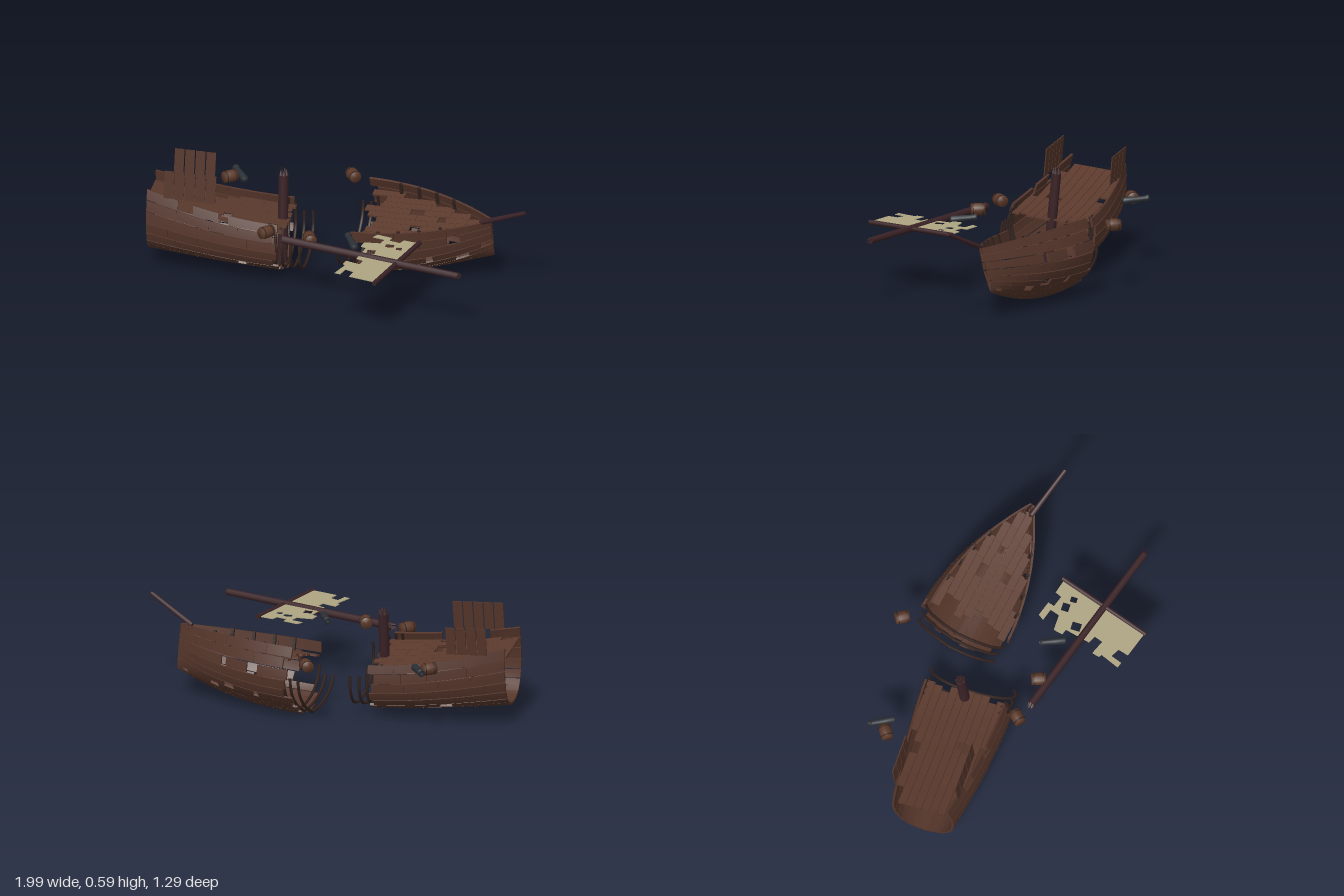
import * as THREE from 'three';
import { mergeGeometries } from 'three/addons/utils/BufferGeometryUtils.js';

const mat = (name, color, side = THREE.FrontSide) => {
  const m = new THREE.MeshStandardMaterial({ color, side });
  m.name = name;
  return m;
};
const M = {
  hull: mat('hull wood', 0x54352a, THREE.DoubleSide),
  deck: mat('deck wood', 0x5c3a2d, THREE.DoubleSide),
  rib: mat('dark frame wood', 0x33231f),
  spar: mat('spar wood', 0x3a2226),
  barrel: mat('barrel wood', 0x5a3828),
  iron: mat('iron', 0x2b3036),
  sail: mat('sailcloth', 0xaea482, THREE.DoubleSide),
};

let seed = 7;
const rnd = () => (seed = (seed * 16807) % 2147483647) / 2147483647;
const mix = (a, b, t) => a + (b - a) * t;
const clamp01 = (t) => Math.min(1, Math.max(0, t));
const V = (x, y, z) => new THREE.Vector3(x, y, z);
const spline = (pts) => new THREE.SplineCurve(pts.map((p) => new THREE.Vector2(...p)));

function mesh(name, geo, material, parent) {
  const m = new THREE.Mesh(geo, material);
  m.name = name;
  parent.add(m);
  return m;
}

// point of a hull: t along it from the break, a from keel (0) to rail (1), off = inward offset
function hullPoint(h, t, a, side, off) {
  const c = clamp01(t), w = h.width(c), k = h.keel(c), H = h.top(c) - k;
  const p = h.profile.getPointAt(clamp01(a)), g = h.profile.getTangentAt(clamp01(a));
  const n = new THREE.Vector2(-g.y * H, g.x * w).normalize();
  return V(h.x(t), k + p.y * H + n.y * off, side * Math.max(0, p.x * w + n.x * off));
}

// bend a box so that its x, y, z run over the given mapping
function bentBox(map, nx, ny) {
  const g = new THREE.BoxGeometry(1, 1, 1, nx, ny, 1);
  const p = g.attributes.position;
  for (let i = 0; i < p.count; i++) {
    const q = map(p.getX(i) + 0.5, p.getY(i) + 0.5, p.getZ(i) + 0.5);
    p.setXYZ(i, q.x, q.y, q.z);
  }
  g.computeVertexNormals();
  return g;
}

// one row of planks with ragged start and broken-out pieces
function plankRow(start, end, holeChance, add) {
  for (let t = start; t < end - 0.03;) {
    let t1 = t + 0.15 + 0.25 * rnd();
    if (t1 > end - 0.07) t1 = end;
    add(t, t1 - (t1 < end ? 0.0015 : 0));
    t = t1;
    if (rnd() < holeChance(t)) t += 0.04 + 0.07 * rnd();
  }
}

function buildHull(h, name, parent) {
  const planks = [], deck = [], N = 10;
  for (const side of [1, -1]) {
    for (let i = 0; i < N; i++) {
      const a0 = i / N, a1 = (i + (i < 4 ? 0.985 : 0.91)) / N;
      const rag = 0.05 * rnd() + (i > 4 ? h.ragged * rnd() * (side > 0 ? 1 : 0.4) : 0);
      plankRow(rag, 1, (t) => (i < 4 ? 0.06 : h.holes * (1.2 - 0.7 * t)), (t0, t1) => {
        planks.push(bentBox((u, v, w) =>
          hullPoint(h, mix(t0, t1, u), mix(a0, a1, v), side, mix(0.012, 0, w)), 6, 2));
      });
    }
  }
  mesh(name + 'Planks', mergeGeometries(planks), M.hull, parent);

  // deck boards
  const step = 0.043;
  for (let row = -4.5; row <= 4.5; row++) {
    const zc = row * step;
    let end = 1;
    while (end > 0.1 && h.width(end) * 0.93 < Math.abs(zc) + step / 2) end -= 0.01;
    plankRow(h.deckRagged * rnd(), end, () => h.deckHoles, (t0, t1) => {
      deck.push(bentBox((u, v, w) => {
        const t = mix(t0, t1, u);
        return V(h.x(t), mix(h.keel(t), h.top(t), h.deckHeight) + 0.01 * w, zc + (v - 0.5) * step * 0.95);
      }, 4, 1));
    });
  }
  mesh(name + 'Deck', mergeGeometries(deck), M.deck, parent);

  // curved frames near the break, some standing bare beyond it
  for (const [t, reach] of h.ribs) {
    const pts = [];
    for (let i = -10; i <= 10; i++)
      pts.push(hullPoint(h, t, Math.abs(i / 10) * reach, Math.sign(i), 0.018));
    mesh(name + 'Rib', new THREE.TubeGeometry(new THREE.CatmullRomCurve3(pts), 40, 0.008, 5), M.rib, parent);
  }
  // rail stanchions
  for (const t of h.posts) for (const side of [1, -1]) {
    const p = hullPoint(h, t, 0.94, side, 0.018);
    mesh('railPost', new THREE.BoxGeometry(0.016, 0.07, 0.014), M.rib, parent).position.copy(p);
  }
}

// round timber between two points, with splinters on the chosen ends
function spar(name, a, b, r0, r1, parent, splinterA, splinterB) {
  const g = new THREE.Group();
  g.name = name;
  const d = b.clone().sub(a), L = d.length();
  g.position.copy(a);
  g.quaternion.setFromUnitVectors(V(0, 1, 0), d.normalize());
  mesh(name + 'Timber', new THREE.CylinderGeometry(r1, r0, L, 10).translate(0, L / 2, 0), M.spar, g);
  const splinters = (y, r, dir) => {
    for (let i = 0; i < 5; i++) {
      const k = i * 1.257, len = r * (0.8 + 0.9 * rnd());
      const c = mesh('splinter', new THREE.ConeGeometry(r * 0.42, len, 4), M.spar, g);
      c.position.set(Math.cos(k) * r * 0.58, y + dir * len / 2, Math.sin(k) * r * 0.58);
      if (dir < 0) c.rotation.x = Math.PI;
    }
  };
  if (splinterA) splinters(0, r0, -1);
  if (splinterB) splinters(L, r1, 1);
  parent.add(g);
}

function barrel(x, z, yaw, parent) {
  const g = new THREE.Group();
  g.name = 'barrel';
  const prof = [[0, -0.038], [0.029, -0.038], [0.032, -0.018], [0.033, 0], [0.032, 0.018], [0.029, 0.038], [0, 0.038]];
  mesh('barrelBody', new THREE.LatheGeometry(prof.map((p) => new THREE.Vector2(...p)), 14), M.barrel, g);
  for (const y of [-0.024, 0.024])
    mesh('barrelHoop', new THREE.CylinderGeometry(0.0328, 0.0328, 0.005, 14), M.rib, g).position.y = y;
  g.rotation.set(0, yaw, Math.PI / 2);
  g.position.set(x, 0.36, z);
  parent.add(g);
}

function cannon(a, b, parent) {
  const g = new THREE.Group();
  g.name = 'cannon';
  const prof = [[0, 0], [0.012, 0.002], [0.02, 0.01], [0.018, 0.06], [0.015, 0.125], [0.019, 0.13], [0.019, 0.142], [0.009, 0.142], [0.009, 0.11], [0, 0.11]];
  mesh('cannonBarrel', new THREE.LatheGeometry(prof.map((p) => new THREE.Vector2(...p)), 12), M.iron, g);
  g.position.copy(a);
  g.quaternion.setFromUnitVectors(V(0, 1, 0), b.clone().sub(a).normalize());
  parent.add(g);
}

export function createModel() {
  const root = new THREE.Group();
  root.name = 'shipwreck';

  // stern half
  const stern = new THREE.Group();
  stern.name = 'sternHalf';
  stern.position.set(0, 0, -0.13);
  stern.rotation.x = -0.1;
  buildHull({
    x: (t) => -0.265 - 0.735 * t,
    width: (t) => 0.247 - 0.08 * t ** 1.8,
    keel: (t) => 0.04 + 0.06 * t ** 1.3,
    top: (t) => 0.345 + 0.125 * t ** 1.6,
    profile: spline([[0, 0], [0.45, 0.05], [0.8, 0.2], [0.97, 0.42], [1, 0.6], [0.97, 0.8], [0.9, 1]]),
    ribs: [[-0.115, 0.86], [-0.05, 0.86], [0.01, 0.97], [0.06, 1], [0.11, 1]],
    posts: [], ragged: 0.05, holes: 0.18, deckRagged: 0.06, deckHoles: 0.08, deckHeight: 0.82,
  }, 'stern', stern);
  spar('mastStump', V(-0.305, 0.06, 0), V(-0.305, 0.54, 0), 0.028, 0.026, stern, false, true);
  for (const side of [1, -1]) for (let i = 0; i < (side > 0 ? 5 : 4); i++) {
    const wall = mesh('cabinWallPlank', new THREE.BoxGeometry(0.05, 0.15, 0.006), M.hull, stern);
    wall.position.set(-0.882 + 0.0555 * i, 0.505 - 0.003 * i, side * 0.172);
    wall.rotation.z = -0.03;
  }
  root.add(stern);

  // bow half, heeled over
  const bow = new THREE.Group();
  bow.name = 'bowHalf';
  bow.position.set(0.062, 0.002, -0.352);
  bow.rotation.set(0.24, -0.15, 0, 'YXZ');
  buildHull({
    x: (t) => 0.752 * t,
    width: (t) => 0.25 - 0.236 * t ** 2.1,
    keel: (t) => 0.005 + 0.145 * t ** 2.2,
    top: (t) => 0.37 + 0.02 * t,
    profile: spline([[0, 0], [0.4, 0.08], [0.78, 0.25], [0.97, 0.46], [1, 0.62], [0.97, 0.8], [0.92, 1]]),
    ribs: [[-0.04, 0.72], [0.02, 0.72], [0.07, 0.8]],
    posts: [0.26, 0.4, 0.54, 0.68], ragged: 0.25, holes: 0.25, deckRagged: 0.2, deckHoles: 0.5, deckHeight: 0.78,
  }, 'bow', bow);
  root.add(bow);
  spar('bowsprit', V(0.74, 0.365, -0.135), V(0.988, 0.487, -0.032), 0.014, 0.011, root, false, false);

  // floating mast, yard and torn sail
  spar('fallenMast', V(-0.25, 0.345, 0.185), V(0.72, 0.352, 0.487), 0.021, 0.018, root, true, true);
  spar('yard', V(0.46, 0.352, 0.125), V(0.3, 0.348, 0.635), 0.013, 0.013, root, false, false);
  const toPts = (a) => a.map((p) => new THREE.Vector2(...p));
  const sail = new THREE.Shape(toPts([
    [0.23, 0.07], [0.31, 0.096], [0.30, 0.13], [0.36, 0.15], [0.375, 0.115], [0.45, 0.135], [0.30, 0.625], [0.16, 0.58],
    [0.175, 0.525], [0.13, 0.50], [0.11, 0.56], [0.08, 0.55], [0.12, 0.45], [0.105, 0.44], [0.115, 0.40], [0.19, 0.43],
    [0.205, 0.385], [0.165, 0.365], [0.195, 0.23], [0.165, 0.22], [0.175, 0.17], [0.26, 0.17], [0.275, 0.12], [0.21, 0.10],
  ]));
  for (const [x, z, w, d] of [[0.29, 0.17, 0.045, 0.04], [0.205, 0.25, 0.045, 0.05], [0.35, 0.2, 0.03, 0.035]])
    sail.holes.push(new THREE.Path(toPts([[x, z], [x, z + d], [x + w, z + d], [x + w, z]])));
  const cloth = mesh('tornSail', new THREE.ExtrudeGeometry(sail, { depth: 0.004, bevelEnabled: false }), M.sail, root);
  cloth.rotation.x = Math.PI / 2;
  cloth.position.y = 0.354;

  // drifting cargo
  barrel(-0.635, -0.485, 0.6, root);
  barrel(-0.345, 0.14, 0.8, root);
  barrel(-0.11, 0.18, -1.2, root);
  barrel(-0.005, -0.6, -1.0, root);
  cannon(V(-0.55, 0.355, -0.46), V(-0.62, 0.365, -0.58), root);
  cannon(V(0.14, 0.355, 0.25), V(0.08, 0.365, 0.12), root);
  return root;
}
